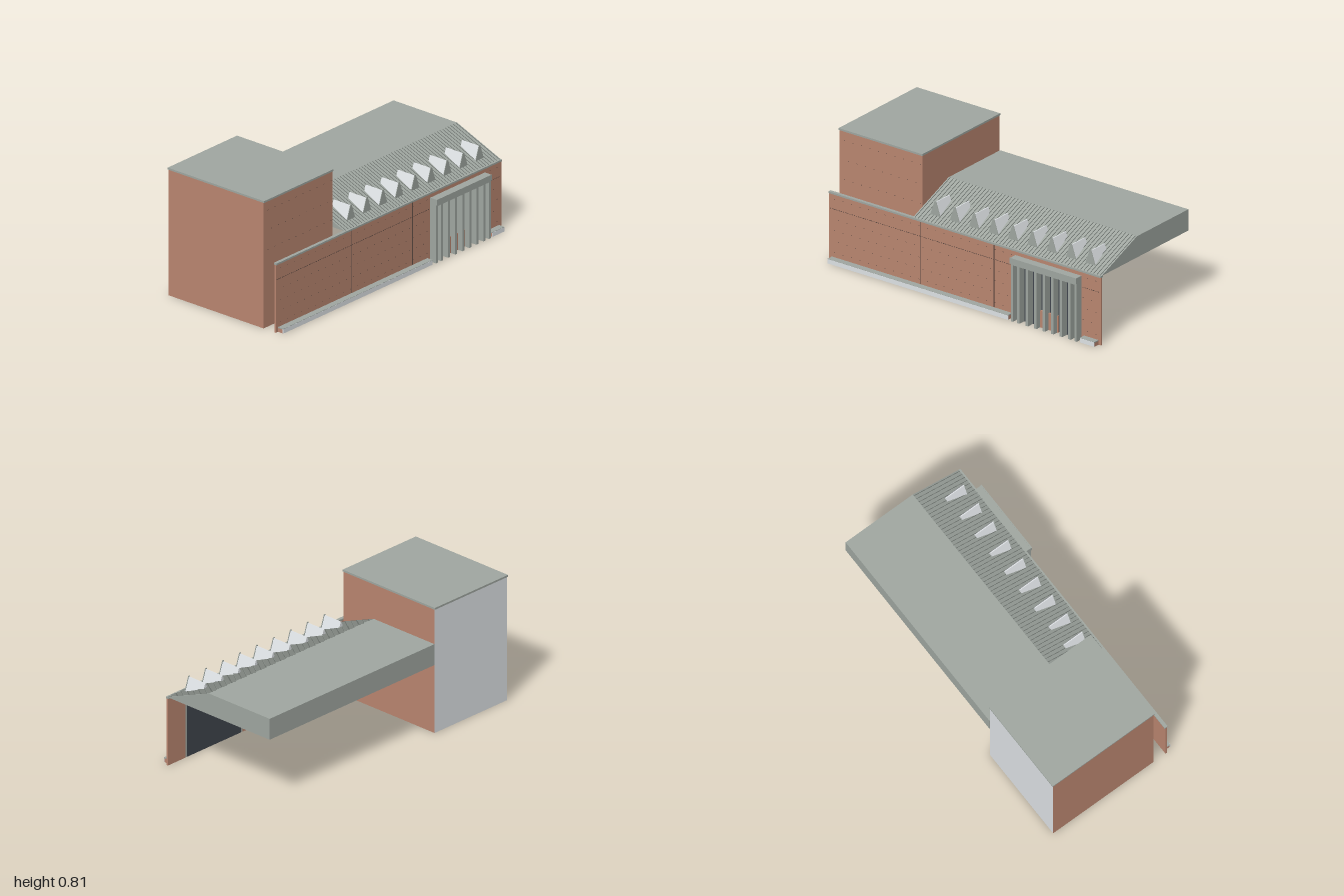
import * as THREE from 'three';
import { mergeGeometries } from 'three/addons/utils/BufferGeometryUtils.js';

const mat = (name, color) => {
  const m = new THREE.MeshStandardMaterial({ color });
  m.name = name;
  return m;
};

// box geometry from its limits
const box = (x0, x1, y0, y1, z0, z1) =>
  new THREE.BoxGeometry(x1 - x0, y1 - y0, z1 - z0)
    .translate((x0 + x1) / 2, (y0 + y1) / 2, (z0 + z1) / 2);

const polygon = (pts) => new THREE.Shape(pts.map(([x, y]) => new THREE.Vector2(x, y)));
const extrude = (pts, depth) =>
  new THREE.ExtrudeGeometry(polygon(pts), { depth, bevelEnabled: false });

export function createModel() {
  const brick = mat('brick', 0xba8670);
  const metal = mat('greyMetal', 0xa0a7a1);
  const battenGrey = mat('battenGrey', 0x737974);
  const light = mat('paleConcrete', 0xdfe3e6);
  const dark = mat('darkJoint', 0x5a4840);
  const glass = mat('darkGlass', 0x40454d);

  const model = new THREE.Group();
  model.name = 'building';
  const add = (name, geometry, material) => {
    const mesh = new THREE.Mesh(geometry, material);
    mesh.name = name;
    model.add(mesh);
  };

  // Tower with a pale rear wall and a flat cap
  add('tower', box(-0.998, -0.388, 0, 0.798, -0.438, 0.295),
    [brick, brick, brick, brick, brick, light]);
  add('towerCap', box(-1, -0.385, 0.798, 0.81, -0.443, 0.3), metal);

  // Long front wall, notched for the entrance
  add('frontWall', extrude([
    [-1, 0], [0.372, 0], [0.372, 0.378], [0.853, 0.378], [0.853, 0],
    [1, 0], [1, 0.43], [-1, 0.43]], 0.01).translate(0, 0, 0.38), brick);
  add('wallCoping', box(-1, 1, 0.43, 0.441, 0.375, 0.396), metal);

  // Panel joints and rows of small marks in the brickwork
  const joints = [-0.325, 0.212].map((x) =>
    box(x - 0.002, x + 0.002, 0.031, 0.43, 0.389, 0.391));
  add('wallJoints', mergeGeometries(joints), dark);

  const marks = [];
  const markRow = (x0, x1, y, step, w, h, z) => {
    for (let x = x0; x < x1; x += step) {
      if (z > 0.35 && y < 0.41 && x > 0.36 && x < 0.86) continue;
      marks.push(box(x - w / 2, x + w / 2, y - h / 2, y + h / 2, z - 0.0005, z + 0.0005));
    }
  };
  markRow(-0.99, 0.99, 0.335, 0.016, 0.009, 0.004, 0.39);
  [0.06, 0.13, 0.2, 0.27, 0.4].forEach((y, i) =>
    markRow(-0.96 + (i % 2) * 0.03, 0.98, y, 0.062, 0.007, 0.003, 0.39));
  [0.49, 0.615, 0.74].forEach((y, i) =>
    markRow(-0.96 + (i % 2) * 0.03, -0.4, y, 0.062, 0.007, 0.003, 0.295));
  add('brickMarks', mergeGeometries(marks), dark);

  // Roof block: sloped at the front, flat behind; profile in (z, y)
  const EAVE_Z = 0.385, EAVE_Y = 0.441, RIDGE_Z = 0.05, RIDGE_Y = 0.576;
  add('mainRoof', extrude([
    [-0.44, EAVE_Y], [EAVE_Z, EAVE_Y], [RIDGE_Z, RIDGE_Y], [-0.44, RIDGE_Y]], 1.385)
    .rotateY(-Math.PI / 2).translate(1, 0, 0), metal);

  // Thin battens running down the slope
  const run = EAVE_Z - RIDGE_Z, rise = RIDGE_Y - EAVE_Y;
  const battens = [];
  for (let i = 0; i < 58; i++) {
    battens.push(new THREE.BoxGeometry(0.0025, 0.004, Math.hypot(run, rise))
      .rotateX(Math.atan2(rise, run))
      .translate(-0.373 + i * 0.0239, (EAVE_Y + RIDGE_Y) / 2 + 0.001, (EAVE_Z + RIDGE_Z) / 2));
  }
  add('roofBattens', mergeGeometries(battens), battenGrey);

  // Row of triangular skylights, each with a grey front plate
  for (let i = 0; i < 9; i++) {
    const skylight = new THREE.Group();
    skylight.name = 'skylight';
    const body = new THREE.Mesh(
      extrude([[-0.033, 0.462], [0.033, 0.462], [0.003, 0.548], [-0.003, 0.548]], 0.13), light);
    body.name = 'skylightBody';
    body.position.z = 0.198;
    const plate = new THREE.Mesh(
      extrude([[-0.036, 0.464], [0.036, 0.464], [0.005, 0.554], [-0.005, 0.554]], 0.004), metal);
    plate.name = 'skylightFront';
    plate.position.z = 0.328;
    skylight.add(body, plate);
    skylight.position.x = -0.265 + i * 0.1425;
    model.add(skylight);
  }

  // Low benches along the foot of the wall
  for (const [x0, x1] of [[-0.98, 0.345], [0.875, 0.98]]) {
    add('benchCore', box(x0, x1, 0, 0.024, 0.39, 0.426), brick);
    add('benchFront', box(x0, x1, 0, 0.028, 0.426, 0.431), light);
    add('benchTop', box(x0, x1, 0.024, 0.03, 0.39, 0.4305), metal);
  }

  // Entrance: glass, brick counters, frame and upright fins
  add('entranceGlass', box(0.384, 0.839, 0, 0.361, 0.381, 0.388), glass);
  add('counterLeft', box(0.53, 0.607, 0, 0.106, 0.388, 0.4), brick);
  add('counterRight', box(0.613, 0.69, 0, 0.106, 0.388, 0.4), brick);
  add('entranceLintel', box(0.37, 0.855, 0.36, 0.405, 0.382, 0.436), metal);
  add('lintelLip', box(0.368, 0.857, 0.37, 0.406, 0.436, 0.443), metal);
  for (const [x0, x1] of [[0.37, 0.385], [0.838, 0.855]]) {
    add('entrancePost', box(x0, x1, 0, 0.36, 0.382, 0.435), metal);
  }
  for (let i = 0; i < 7; i++) {
    const x = 0.424 + i * 0.0628;
    add('entranceFin', box(x - 0.009, x + 0.009, 0, 0.36, 0.388, 0.434), metal);
  }

  return model;
}
